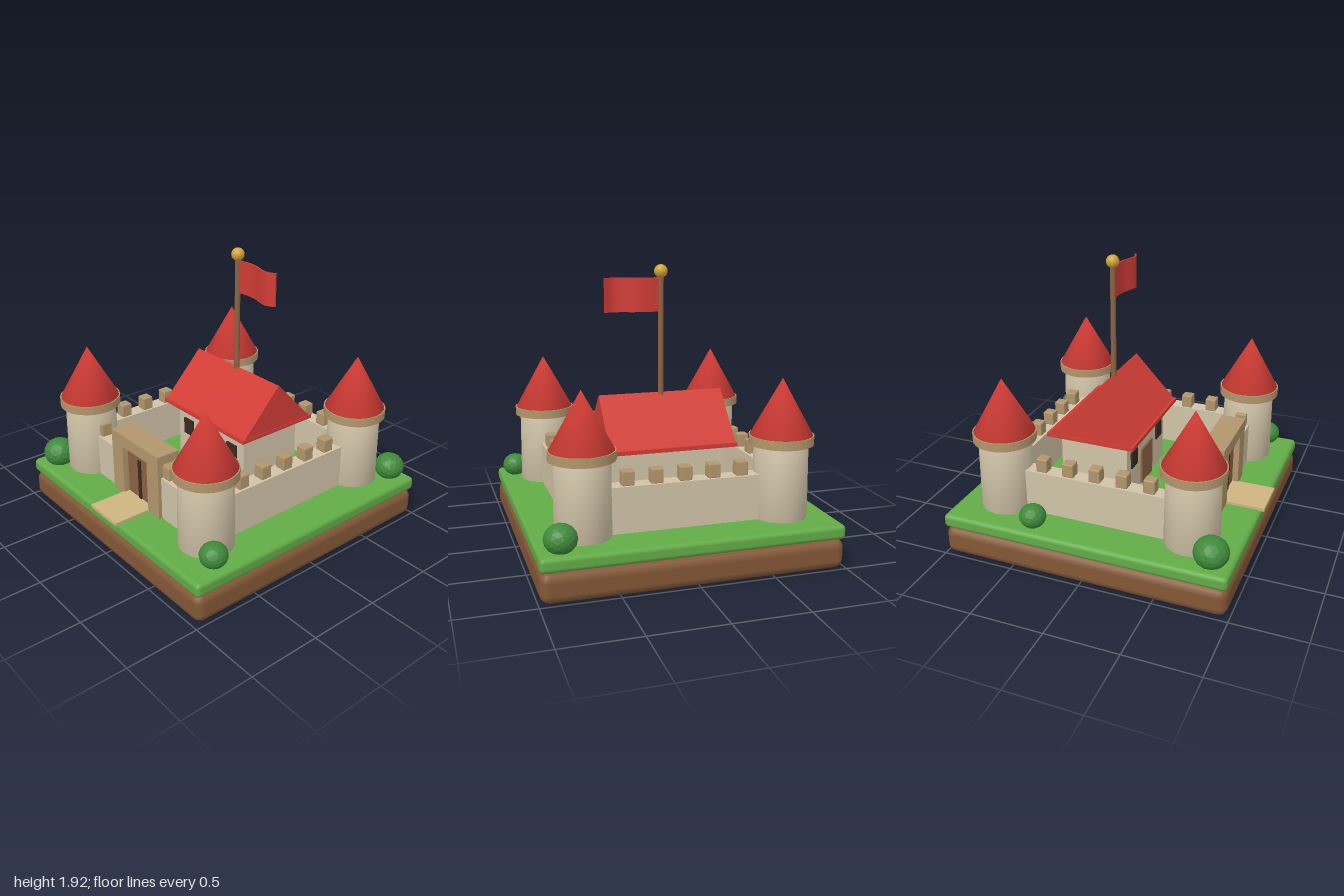
import * as THREE from 'three';
import { mergeVertices } from 'three/addons/utils/BufferGeometryUtils.js';
import { RoundedBoxGeometry } from 'three/addons/geometries/RoundedBoxGeometry.js';

const mat = (name, color) => {
  const m = new THREE.MeshStandardMaterial({ color });
  m.name = name;
  return m;
};

// weld all vertices so shading runs smoothly over the rims
function soften(geo) {
  geo.deleteAttribute('normal');
  geo.deleteAttribute('uv');
  const g = mergeVertices(geo, 1e-4);
  g.computeVertexNormals();
  return g;
}

export function createModel() {
  const M = {
    stone: mat('stone', 0xd0c3a7),
    trim: mat('trim stone', 0xb2966c),
    red: mat('roof red', 0xd23c35),
    dirt: mat('dirt', 0x835736),
    grass: mat('grass', 0x62ab47),
    bush: mat('bush green', 0x3f8a3a),
    gold: mat('gold', 0xd4a437),
    path: mat('path sand', 0xcdb580),
    wood: mat('wood', 0x8c6242),
    dark: mat('dark wood', 0x3a2a1e),
  };
  M.bush.flatShading = true;

  const root = new THREE.Group();
  root.name = 'castle';
  const castle = new THREE.Group();
  castle.name = 'castleOnIsland';
  castle.position.z = -0.01;
  root.add(castle);

  const add = (name, geo, material, x = 0, y = 0, z = 0) => {
    const m = new THREE.Mesh(geo, material);
    m.name = name;
    m.position.set(x, y, z);
    castle.add(m);
    return m;
  };
  const box = (name, w, h, d, material, x, y, z) =>
    add(name, new THREE.BoxGeometry(w, h, d), material, x, y, z);

  const G = 0.297; // ground level
  const T = 0.663; // distance of towers and walls from the middle

  // island
  add('dirtBase', new RoundedBoxGeometry(1.98, 0.2, 1.98, 2, 0.06), M.dirt, 0, 0.1, 0);
  add('grass', new RoundedBoxGeometry(1.98, 0.097, 1.98, 2, 0.03), M.grass, 0, 0.2485, 0);
  box('path', 0.3, 0.024, 0.455, M.path, 0, 0.303, 0.7825);

  // corner towers
  const body = soften(new THREE.CylinderGeometry(0.178, 0.183, 0.52, 32));
  const ring = new THREE.CylinderGeometry(0.213, 0.213, 0.06, 32);
  const cone = soften(new THREE.ConeGeometry(0.207, 0.375, 32));
  for (const sx of [-1, 1]) {
    for (const sz of [-1, 1]) {
      add('towerBody', body, M.stone, sx * T, 0.55, sz * T);
      add('towerRing', ring, M.trim, sx * T, 0.816, sz * T);
      add('towerRoof', cone, M.red, sx * T, 1.029, sz * T);
    }
  }

  // walls with merlons
  const wallH = 0.6 - 0.28;
  const merlon = new RoundedBoxGeometry(0.08, 0.095, 0.08, 1, 0.008);
  const addMerlon = (x, z) => add('merlon', merlon, M.trim, x, 0.645, z);
  for (const s of [-1, 1]) {
    box('sideWall', 0.112, wallH, 1.1, M.stone, s * T, 0.44, 0);
    for (let i = -2; i <= 2; i++) addMerlon(s * T, i * 0.19);
    box('frontWall', 0.4, wallH, 0.112, M.stone, s * 0.36, 0.44, T);
    for (const x of [0.295, 0.495]) addMerlon(s * x, T);
  }
  box('backWall', 1.1, wallH, 0.112, M.stone, 0, 0.44, -T);
  for (let i = -2; i <= 2; i++) addMerlon(i * 0.19, -T);

  // gatehouse with an open doorway
  const gate = new THREE.Shape();
  [[-0.266, 0.285], [-0.14, 0.285], [-0.14, 0.67], [0.14, 0.67], [0.14, 0.285],
    [0.266, 0.285], [0.266, 0.757], [-0.266, 0.757]].forEach(([x, y], i) =>
    i ? gate.lineTo(x, y) : gate.moveTo(x, y));
  add('gatehouse', new THREE.ExtrudeGeometry(gate, { depth: 0.17, bevelEnabled: false }),
    M.trim, 0, 0, 0.574);
  box('gateDoor', 0.28, 0.33, 0.06, M.wood, 0, 0.463, T + 0.01);
  box('gateDoorSlit', 0.03, 0.3, 0.075, M.dark, 0, 0.46, T + 0.01);

  // keep
  const kz = -0.15;
  box('keepBody', 0.72, 0.45, 0.485, M.stone, 0, 0.51, kz);
  box('keepDoor', 0.2, 0.27, 0.02, M.wood, 0, 0.43, kz + 0.246);
  for (const s of [-1, 1]) {
    box('keepWindow', 0.1, 0.12, 0.02, M.dark, s * 0.24, 0.57, kz + 0.246);
  }
  box('roofEave', 0.876, 0.026, 0.634, M.red, 0, 0.74, kz);
  const gable = new THREE.Shape();
  gable.moveTo(-0.3, 0.75);
  gable.lineTo(0.3, 0.75);
  gable.lineTo(0, 1.066);
  const roof = new THREE.ExtrudeGeometry(gable, { depth: 0.866, bevelEnabled: false });
  roof.translate(0, 0, -0.433).rotateY(Math.PI / 2);
  add('keepRoof', roof, M.red, 0, 0, kz);

  // flagpole and waving flag
  add('flagpole', new THREE.CylinderGeometry(0.019, 0.019, 0.81, 16), M.wood, 0, 1.455, kz);
  add('poleBall', new THREE.SphereGeometry(0.045, 24, 16), M.gold, 0, 1.878, kz);
  const wave = new THREE.SplineCurve([[0, 0], [0.1, -0.008], [0.18, 0], [0.25, 0.022],
    [0.32, 0.036], [0.385, 0.01]].map(([x, z]) => new THREE.Vector2(x, z)));
  const flag = new THREE.BoxGeometry(1, 0.226, 0.012, 24, 1, 1);
  const p = flag.attributes.position;
  for (let i = 0; i < p.count; i++) {
    const c = wave.getPoint(Math.min(1, Math.max(0, p.getX(i) + 0.5)));
    p.setX(i, c.x);
    p.setZ(i, p.getZ(i) + c.y);
  }
  flag.computeVertexNormals();
  add('flag', flag, M.red, 0, 1.725, kz);

  // bushes
  for (const [x, z, r] of [[0.845, -0.875, 0.105], [-0.878, -0.365, 0.09],
    [-0.845, 0.845, 0.116], [0.88, 0.78, 0.092]]) {
    add('bush', new THREE.IcosahedronGeometry(r, 2), M.bush, x, 0.37, z).scale.y = 0.9;
  }

  return root;
}
